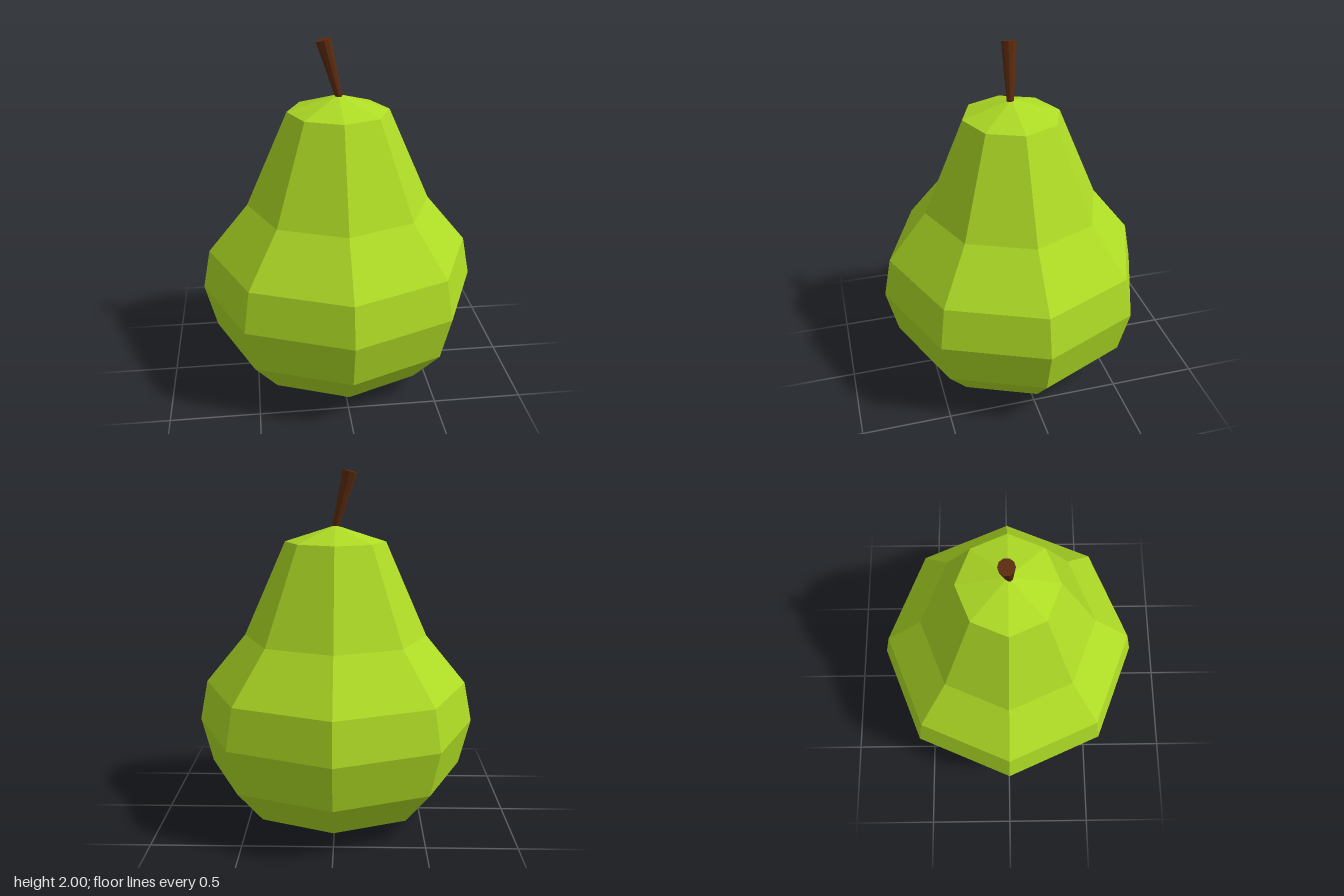
import * as THREE from 'three';

const skin = new THREE.MeshStandardMaterial({ name: 'green skin', color: 0xaedb25, flatShading: true });
const wood = new THREE.MeshStandardMaterial({ name: 'brown wood', color: 0x5c2b0e, flatShading: true });

export function createModel() {
  const group = new THREE.Group();
  group.name = 'pear';

  // Eight-sided fruit body, slightly narrower front to back
  const profile = [
    [0, 0], [0.3, 0], [0.56, 0.1], [0.73, 0.3], [0.795, 0.56],
    [0.75, 0.79], [0.52, 1.07], [0.283, 1.605], [0, 1.695],
  ].map(([r, y]) => new THREE.Vector2(r, y));
  const body = new THREE.Mesh(new THREE.LatheGeometry(profile, 8), skin);
  body.name = 'body';
  body.scale.z = 0.96;
  group.add(body);

  // Leaning stem that widens towards the top
  const base = new THREE.Vector3(0.005, 1.67, 0.007);
  const tip = new THREE.Vector3(-0.08, 1.989, -0.008);
  const axis = tip.clone().sub(base);
  const stem = new THREE.Mesh(new THREE.CylinderGeometry(0.043, 0.019, axis.length(), 10), wood);
  stem.name = 'stem';
  stem.position.copy(base).add(tip).multiplyScalar(0.5);
  stem.quaternion.setFromUnitVectors(new THREE.Vector3(0, 1, 0), axis.normalize());
  group.add(stem);

  return group;
}
